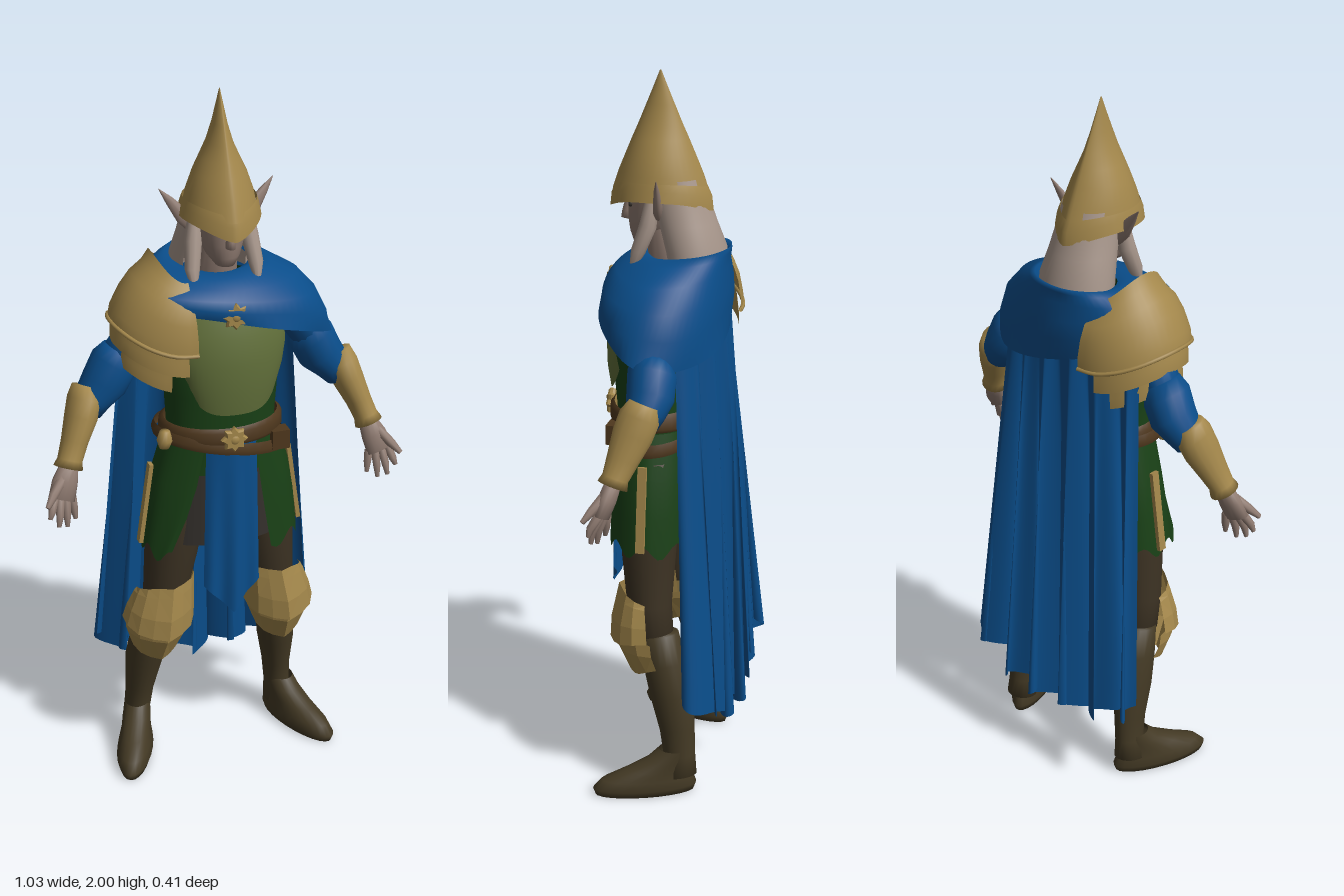
import * as THREE from 'three';

const { sin, cos, abs, PI, sign, pow } = Math;
const lerp = THREE.MathUtils.lerp;
const V = (p) => new THREE.Vector3(...p);
const colours = {
  blue: 0x0a4d8a, gold: 0xa3874b, skin: 0x8f7b71, hair: 0xa7968b, darkGreen: 0x194016,
  mossGreen: 0x616f3a, boot: 0x433924, trouser: 0x3c3223, belt: 0x4e371d, charcoal: 0x34302c,
};
const mats = {};

// Surface from a rule fn(u, v) -> [x, y, z]; u runs rightwards, v upwards
function grid(fn, nu, nv, closed, flat) {
  const pos = [], idx = [], cols = closed ? nu : nu + 1;
  for (let j = 0; j <= nv; j++) for (let i = 0; i < cols; i++) pos.push(...fn(i / nu, j / nv));
  for (let j = 0; j < nv; j++) for (let i = 0; i < nu; i++) {
    const a = j * cols + i, b = j * cols + (i + 1) % cols;
    idx.push(a, b, b + cols, a, b + cols, a + cols);
  }
  let g = new THREE.BufferGeometry();
  g.setAttribute('position', new THREE.Float32BufferAttribute(pos, 3));
  g.setIndex(idx);
  if (flat) g = g.toNonIndexed();
  g.computeVertexNormals();
  return g;
}

// Stacked ellipses [y, rx, rz, cx, cz], listed bottom to top; angle 0 faces the front
function loft(rows, { from = 0, to = 2 * PI, nu = 32, edit, flat } = {}) {
  const n = rows.length - 1;
  return grid((u, v) => {
    const [y, rx, rz, cx = 0, cz = 0] = rows[Math.round(v * n)], a = lerp(from, to, u);
    const p = [cx + rx * sin(a), y, cz + rz * cos(a)];
    return edit ? edit(p, a, v) : p;
  }, nu, n, to - from > 6.28, flat);
}

// Closed limb through points [x, y, z, width, depth]
function limb(pts, nu = 14) {
  const c = pts.map((p) => V(p.slice(0, 3)));
  const d = c[c.length - 1].clone().sub(c[0]).normalize();
  const n = d.clone().cross(V([0, 0, 1])).normalize(), b = n.clone().cross(d);
  const rows = pts.map((p, i) => [c[i], p[3], p[4] ?? p[3]]);
  rows.unshift([c[0], 0, 0]);
  rows.push([c[c.length - 1], 0, 0]);
  const k = rows.length - 1;
  return grid((u, v) => {
    const [o, w, t] = rows[Math.round(v * k)], a = u * 2 * PI;
    return o.clone().addScaledVector(n, w * sin(a)).addScaledVector(b, t * cos(a)).toArray();
  }, nu, k, true);
}

function starShape(r, points) {
  const s = new THREE.Shape();
  for (let i = 0; i < points * 2; i++) {
    const a = i * PI / points, q = i % 2 ? r * 0.72 : r;
    s[i ? 'lineTo' : 'moveTo'](q * sin(a), q * cos(a));
  }
  return s;
}

export function createModel() {
  const model = new THREE.Group();
  for (const k in colours) {
    mats[k] = new THREE.MeshStandardMaterial({ color: colours[k], side: THREE.DoubleSide });
    mats[k].name = k;
  }
  const add = (name, geo, mat) => {
    const m = new THREE.Mesh(geo, mats[mat]);
    m.name = name;
    model.add(m);
    return m;
  };

  // Head, neck and nose
  add('head', loft([[1.535, 0.001, 0.001, 0, 0.1], [1.54, 0.026, 0.03, 0, 0.1], [1.565, 0.045, 0.058, 0, 0.08],
    [1.6, 0.058, 0.078, 0, 0.065], [1.65, 0.066, 0.088, 0, 0.055], [1.72, 0.07, 0.09, 0, 0.05]]), 'skin');
  add('neck', limb([[0, 1.42, 0.02, 0.06], [0, 1.6, 0.05, 0.048]]), 'skin');
  add('nose', limb([[0, 1.598, 0.143, 0.013, 0.022], [0, 1.62, 0.145, 0.012, 0.016], [0, 1.68, 0.138, 0.006]]), 'skin');

  // Long hair falling into the cowl
  add('hair', loft([[1.46, 0.112, 0.085, 0, -0.045], [1.53, 0.108, 0.09, 0, -0.035], [1.6, 0.094, 0.086, 0, -0.012],
    [1.67, 0.084, 0.084, 0, 0.01], [1.72, 0.078, 0.078, 0, 0.02]], { from: 0.3 * PI, to: 1.7 * PI }), 'hair');

  // Helmet: almond-shaped spire and a band that dips front and back
  const almond = (rx, s) => rx * sign(s) * pow(abs(s), 1.35);
  const hs = [[1.68, 0.098, 0.133], [1.73, 0.088, 0.116], [1.78, 0.071, 0.095], [1.82, 0.052, 0.078], [1.86, 0.034, 0.06],
    [1.91, 0.019, 0.039], [1.96, 0.009, 0.018], [2.0, 0.001, 0.002]].map((r) => [...r, 0, 0.054]);
  add('helmetSpire', loft(hs, { nu: 36, edit: ([x, y, z], a, v) => [almond(hs[Math.round(v * 7)][1], sin(a)), y, z] }), 'gold');
  add('helmetBand', loft([[1.667, 0.109, 0.142, 0, 0.052], [1.695, 0.105, 0.138, 0, 0.052], [1.715, 0.097, 0.126, 0, 0.053]],
    { nu: 36, edit: ([x, y, z], a, v) => [almond(0.109 - 0.012 * v, sin(a)), y - 0.036 * pow(abs(cos(a)), 3) * (1 - 0.5 * v), z] }), 'gold');

  // Torso, breastplate and collar brooch
  add('torso', loft([[0.95, 0.165, 0.11, 0, 0.062], [1.08, 0.152, 0.108, 0, 0.064], [1.18, 0.158, 0.115, 0, 0.066],
    [1.3, 0.172, 0.118, 0, 0.062], [1.4, 0.165, 0.11, 0, 0.05], [1.47, 0.11, 0.085, 0, 0.02]]), 'darkGreen');
  add('breastplate', loft([[1.135, 0.155, 0.12, 0.01, 0.067], [1.2, 0.17, 0.13, 0.01, 0.066], [1.28, 0.18, 0.132, 0.01, 0.065],
    [1.36, 0.178, 0.128, 0.01, 0.06], [1.43, 0.155, 0.11, 0.01, 0.05]], { from: -0.95, to: 0.95, nu: 20,
    edit: ([x, y, z], a, v) => [x, y + 0.09 * (1 - v) * pow(abs(a), 3.5), z] }), 'mossGreen');
  const medallion = (name, x, y, z, r) => {
    const g = new THREE.ExtrudeGeometry(starShape(r, 8), { depth: 0.008, bevelThickness: 0.006, bevelSize: 0.004, bevelSegments: 1 });
    add(name, g, 'gold').position.set(x, y, z);
    const boss = add(name + 'Boss', new THREE.SphereGeometry(r * 0.5, 12, 8), 'gold');
    boss.position.set(x, y, z + 0.008);
    boss.scale.z = 0.6;
  };
  medallion('brooch', 0, 1.425, 0.186, 0.032);

  // Mantle, longer over the left shoulder, with a standing cowl
  const ms = [[0, 0.29, 0.17, 0.032, 0.03], [0.3, 0.281, 0.172, 0.026, 0.03], [0.55, 0.262, 0.167, 0.018, 0.025],
    [0.78, 0.217, 0.15, 0.012, 0.015], [0.93, 0.16, 0.132, 0, -0.005], [1, 0.125, 0.118, 0, -0.02], [0.92, 0.105, 0.098, 0, -0.03]];
  add('mantle', loft(ms, { nu: 64, edit: ([x, , z], a, v) => {
    const t = ms[Math.round(v * 6)][0];
    const low = 1.352 + 0.045 * cos(a) - 0.075 * sin(a), high = 1.525 - 0.012 * cos(a);
    const k = 1 + 0.022 * sin(a * 5 + t * 9) * (1 - v);
    return [x * k, lerp(low, high, t), z * k];
  } }), 'blue');

  // Cape: sheet with rolled pleats that widens towards a ragged hem
  add('cape', grid((u, v) => {
    const s = 2 * u - 1, f = 1 - v, w = s * 18 + 0.6;
    const hem = 0.2 + 0.11 * pow(abs(s), 2.5) + 0.025 * (1 - cos(s * 14)) * 0.5;
    const fold = sin(w) + 0.25 * sin(s * 31 + 2);
    const z = lerp(-0.15, -0.12, v) + 0.05 * s * s * (0.4 + v) + fold * (0.008 + 0.034 * f);
    return [-s * lerp(0.325, 0.235, v) - 0.022 * f * sin(2 * w), lerp(hem, 1.42, v), z];
  }, 150, 14), 'blue');

  // Under-skirt, belts and buckle
  add('underSkirt', loft([[0.73, 0.19, 0.108, 0, 0.055], [0.88, 0.18, 0.108, 0, 0.058], [1.02, 0.155, 0.1, 0, 0.062]]), 'charcoal');
  add('belt', loft([[1.045, 0.168, 0.125, 0, 0.062], [1.055, 0.174, 0.131, 0, 0.062], [1.085, 0.172, 0.129, 0, 0.063],
    [1.095, 0.16, 0.118, 0, 0.063]]), 'belt');
  add('hangingBelt', loft([[1.015, 0.19, 0.13, 0, 0.06], [1.03, 0.193, 0.134, 0, 0.06], [1.05, 0.185, 0.127, 0, 0.06]],
    { edit: ([x, y, z]) => [x, y - 0.18 * x, z] }), 'belt');
  medallion('buckle', -0.005, 1.07, 0.193, 0.032);
  add('pouch', new THREE.BoxGeometry(0.05, 0.055, 0.04), 'belt').position.set(0.14, 1.03, 0.15);
  add('beltClasp', limb([[-0.178, 1.035, 0.12, 0.014], [-0.178, 1.06, 0.125, 0.022], [-0.176, 1.085, 0.12, 0.014]], 10), 'gold');

  // Hanging front cloth with a pointed end
  add('frontCloth', grid((u, v) => {
    const s = 2 * u - 1, f = 1 - v;
    return [-0.003 + s * lerp(0.08, 0.072, v), lerp(0.525 + 0.085 * abs(s), 1.06, v),
      0.19 + 0.008 * sin(s * 7 + 1) * f - 0.022 * s * s];
  }, 20, 8), 'blue');

  // Pauldron: domed cap over two lames, with a raised rim
  const lame = (name, rows, from, to) => add(name, loft(rows.map((r) => [...r, -0.115, 0.027]), { from: from * PI, to: to * PI, nu: 24,
    edit: ([x, y, z], a) => [x, y - 0.06 * cos(a) ** 2, z] }), 'gold');
  lame('pauldronCap', [[1.385, 0.182, 0.172], [1.42, 0.175, 0.172], [1.47, 0.148, 0.164], [1.51, 0.118, 0.15],
    [1.54, 0.085, 0.125], [1.57, 0.066, 0.105]], 0.98, 2.02);
  lame('pauldronMiddleLame', [[1.325, 0.178, 0.16], [1.36, 0.176, 0.16], [1.41, 0.16, 0.155]], 1.06, 1.98);
  lame('pauldronLowerLame', [[1.27, 0.168, 0.14], [1.3, 0.166, 0.142], [1.35, 0.155, 0.14]], 1.13, 1.9);
  const rim = [];
  for (let i = 0; i <= 10; i++) {
    const a = PI * (0.98 + 0.104 * i);
    rim.push(V([-0.115 + 0.182 * sin(a), 1.388 - 0.06 * cos(a) ** 2, 0.027 + 0.172 * cos(a)]));
  }
  add('pauldronRim', new THREE.TubeGeometry(new THREE.CatmullRomCurve3(rim), 30, 0.006, 6), 'gold');

  for (const s of [1, -1]) {
    const side = s > 0 ? 'left' : 'right';
    const pair = (name, pts, mat, nu) => add(side + name, limb(pts.map(([x, ...r]) => [x * s, ...r]), nu), mat);

    // Eye, ear and front hair strand
    const eye = add(side + 'Eye', new THREE.SphereGeometry(0.016, 10, 6), 'charcoal');
    eye.position.set(s * 0.03, 1.645, 0.128);
    eye.scale.set(1, 0.55, 0.5);
    pair('Ear', [[0.065, 1.625, 0.045, 0.018, 0.014], [0.095, 1.66, 0.04, 0.022, 0.012], [0.13, 1.705, 0.034, 0.012, 0.007],
      [0.157, 1.738, 0.028, 0.001]], 'skin', 10);
    pair('HairStrand', [[0.088, 1.475, 0.115, 0.006], [0.088, 1.53, 0.095, 0.02], [0.078, 1.6, 0.07, 0.024], [0.068, 1.69, 0.058, 0.016]], 'hair', 10);

    // Sleeve and bracer
    pair('UpperSleeve', [[0.17, 1.37, 0.02, 0.045], [0.23, 1.33, 0.015, 0.052], [0.278, 1.26, 0.01, 0.052]], 'blue');
    pair('Sleeve', [[0.264, 1.29, 0.01, 0.05], [0.282, 1.255, 0.008, 0.066], [0.31, 1.2, 0.006, 0.064],
      [0.345, 1.16, 0.012, 0.052], [0.365, 1.13, 0.02, 0.042]], 'blue', 18);
    pair('Bracer', [[0.365, 1.2, 0.01, 0.034, 0.04], [0.37, 1.165, 0.02, 0.046, 0.056], [0.385, 1.12, 0.035, 0.044, 0.055],
      [0.41, 1.06, 0.055, 0.036, 0.044], [0.428, 1.015, 0.07, 0.034, 0.036], [0.435, 0.995, 0.076, 0.04, 0.042]], 'gold', 16);

    // Hand with spread fingers
    pair('Palm', [[0.432, 1.0, 0.075, 0.026, 0.022], [0.448, 0.96, 0.087, 0.036, 0.024], [0.462, 0.915, 0.1, 0.038, 0.02]], 'skin');
    const tips = [[0.502, 0.872, 0.125], [0.478, 0.845, 0.125], [0.452, 0.837, 0.115], [0.425, 0.85, 0.1]];
    tips.forEach(([x, y, z], i) => pair('Finger' + (i + 1), [[0.483 - i * 0.017, 0.925 - i * 0.004, 0.102 - i * 0.003, 0.013],
      [lerp(0.483 - i * 0.017, x, 0.6), lerp(0.922, y, 0.6), z - 0.004, 0.011], [x, y, z, 0.006]], 'skin', 8));
    pair('Thumb', [[0.455, 0.975, 0.09, 0.015], [0.488, 0.94, 0.118, 0.013], [0.51, 0.915, 0.138, 0.007]], 'skin', 8);

    // Skirt panel, open wider at the right front, with gold edging on the hip
    add(side + 'SkirtPanel', loft([[0.715, 0.225, 0.132, 0, 0.052], [0.82, 0.214, 0.131, 0, 0.055], [0.92, 0.197, 0.127, 0, 0.058],
      [1.04, 0.163, 0.118, 0, 0.062]], { from: s > 0 ? 0.4 : PI, to: s > 0 ? PI : 2 * PI - 0.5, nu: 28,
      edit: ([x, y, z], a, v) => {
        const open = Math.max(0, cos(a)) * (1 - v);
        return [x + s * (s > 0 ? 0.03 : 0.085) * open * open, y + (1 - v) * 0.02 * sin(a * 9), z];
      } }), 'darkGreen');
    const trim = add(side + 'HipTrim', new THREE.BoxGeometry(0.012, 0.24, 0.024), 'gold');
    trim.position.set(s * 0.216, 0.84, 0.058);
    trim.rotation.z = s * 0.14;

    // Leg, boot and foot
    pair('Thigh', [[0.105, 0.95, 0.055, 0.08], [0.128, 0.8, 0.056, 0.082], [0.142, 0.68, 0.055, 0.075], [0.16, 0.54, 0.05, 0.062],
      [0.17, 0.44, 0.035, 0.055]], 'trouser', 20);
    pair('Boot', [[0.222, 0.05, -0.05, 0.042, 0.05], [0.218, 0.11, -0.05, 0.037, 0.045], [0.212, 0.19, -0.042, 0.041, 0.05],
      [0.203, 0.29, -0.025, 0.053, 0.062], [0.19, 0.38, 0.0, 0.056, 0.06], [0.178, 0.46, 0.02, 0.056]], 'boot', 20);
    const foot = add(side + 'Foot', loft([[0, 0.001, 0.001, 0, 0], [0, 0.045, 0.14, 0, 0], [0.02, 0.052, 0.147, 0, 0],
      [0.045, 0.048, 0.13, 0, -0.008], [0.07, 0.042, 0.095, 0, -0.035], [0.1, 0.04, 0.062, 0, -0.068], [0.13, 0.037, 0.047, 0, -0.088]], { nu: 24 }), 'boot');
    foot.position.set(s * 0.254, 0.003, 0.042);
    foot.rotation.y = s * 0.38;

    // Knee guard: ridged upper wing over a lower pointed plate
    const knee = (name, rows, dip) => add(side + name, loft(rows, { from: -1.75, to: 1.75, nu: 8, flat: true,
      edit: ([x, y, z], a, v) => [s * x, y - dip * Math.max(0, cos(a)) * (1 - v) + 0.03 * v * (1 - cos(a)) * (x > 0.17 ? -0.8 : 0.4),
        z + 0.012 * (abs(a) < 0.1 ? 1 : 0)] }), 'gold');
    knee('KneeLowerPlate', [[0.38, 0.068, 0.066, 0.186, 0.02], [0.44, 0.089, 0.092, 0.18, 0.035], [0.49, 0.092, 0.1, 0.178, 0.04]], 0.035);
    knee('KneeUpperPlate', [[0.47, 0.102, 0.1, 0.18, 0.046], [0.52, 0.096, 0.094, 0.174, 0.05], [0.575, 0.086, 0.076, 0.164, 0.055],
      [0.595, 0.082, 0.07, 0.16, 0.055]], 0.03);
  }
  return model;
}
